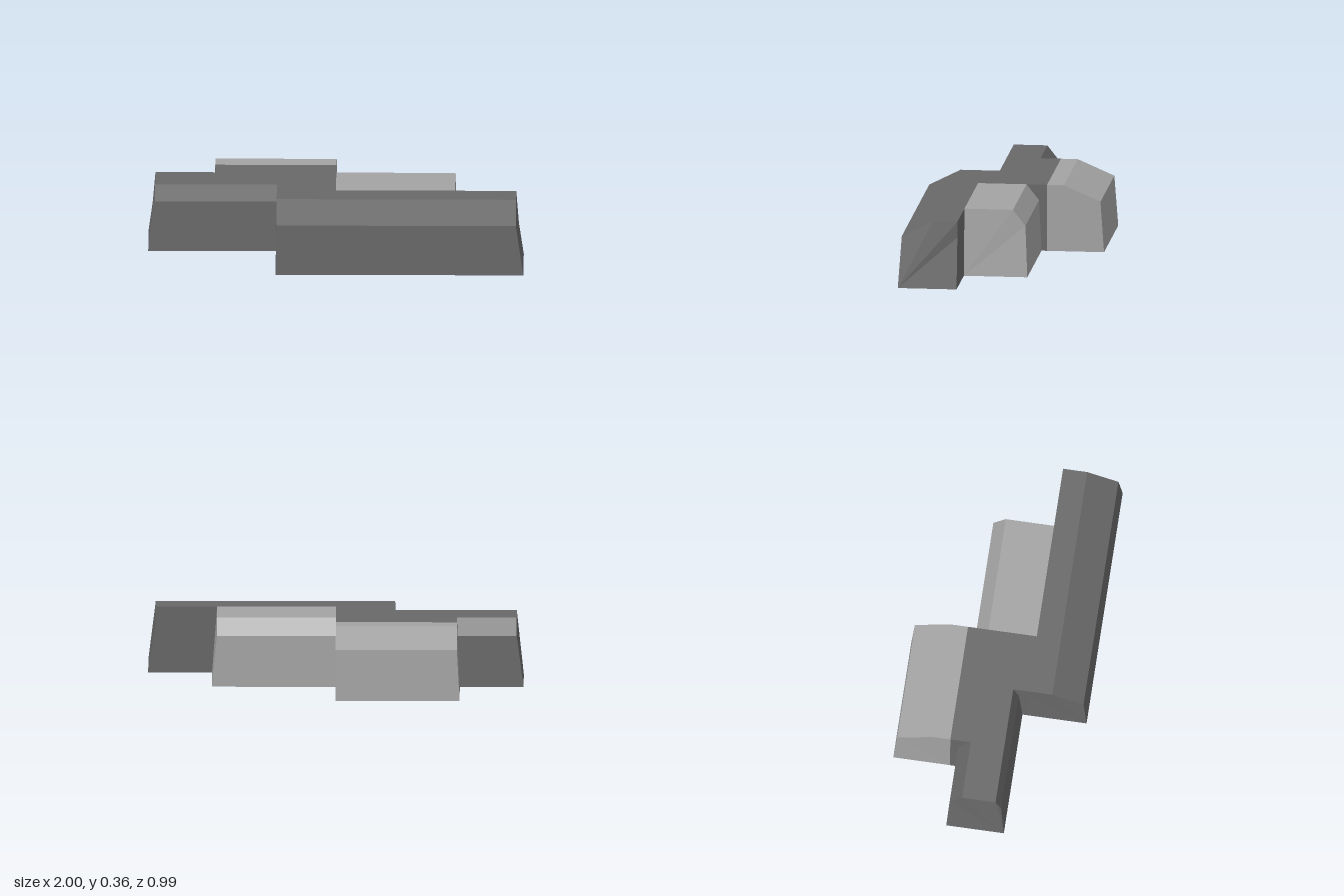
import * as THREE from 'three';

const SHOULDER = 0.275, TOP = 0.36;

// Prism along x: convex [z, y] section, with ends leaning in from the foot to the shoulder.
function block(name, material, section, [leftFoot, leftTop], [rightFoot, rightTop]) {
  const lean = (foot, top, y) => THREE.MathUtils.lerp(foot, top, Math.min(y / SHOULDER, 1));
  const ends = [[leftFoot, leftTop], [rightFoot, rightTop]].map(([foot, top]) =>
    section.map(([z, y]) => [lean(foot, top, y), y, z]));
  const [L, R] = ends;
  const n = section.length;
  const pos = [];
  const tri = (a, b, c) => pos.push(...a, ...b, ...c);
  for (let i = 0; i < n; i++) {
    const j = (i + 1) % n;
    tri(L[i], R[i], R[j]);
    tri(L[i], R[j], L[j]);
  }
  for (let i = 1; i < n - 1; i++) {
    tri(L[0], L[i], L[i + 1]);
    tri(R[0], R[i + 1], R[i]);
  }
  const geometry = new THREE.BufferGeometry();
  geometry.setAttribute('position', new THREE.Float32BufferAttribute(pos, 3));
  geometry.computeVertexNormals();
  const mesh = new THREE.Mesh(geometry, material);
  mesh.name = name;
  return mesh;
}

// Section from three front z values (foot, shoulder, top) and three back ones.
const section = (front, back) => [
  [front[0], 0], [front[1], SHOULDER], [front[2], TOP],
  [back[2], TOP], [back[1], SHOULDER], [back[0], 0],
];
const wall = (z) => [z, z, z];

export function createModel() {
  const dark = new THREE.MeshStandardMaterial({ color: 0x686868, flatShading: true });
  dark.name = 'darkGrey';
  const light = new THREE.MeshStandardMaterial({ color: 0xa3a3a3, flatShading: true });
  light.name = 'lightGrey';

  const armFront = [0.15, 0.13, 0.10];
  const armBack = [-0.16, -0.147, -0.08];
  const model = new THREE.Group();
  model.name = 'steppedBlocks';
  model.add(
    // dark mass: long front block, side arm and the core joining them
    block('frontBlock', dark, section([0.495, 0.478, 0.31], wall(0.18)), [-0.32, -0.315], [1, 0.96]),
    block('sideArm', dark, section(armFront, armBack), [-1, -0.963], [-0.315, -0.315]),
    block('core', dark, section(wall(0.18), wall(-0.08)), [-0.32, -0.315], [0, 0]),
    block('coreBack', dark, section(wall(-0.08), wall(-0.19)), [-0.66, -0.645], [0, 0]),
    // light wings
    block('backWing', light, section(wall(-0.19), [-0.495, -0.476, -0.28]), [-0.66, -0.645], [0, 0]),
    block('rightWing', light, section(wall(0.18), armBack), [0, 0], [0.66, 0.633]),
  );
  return model;
}
